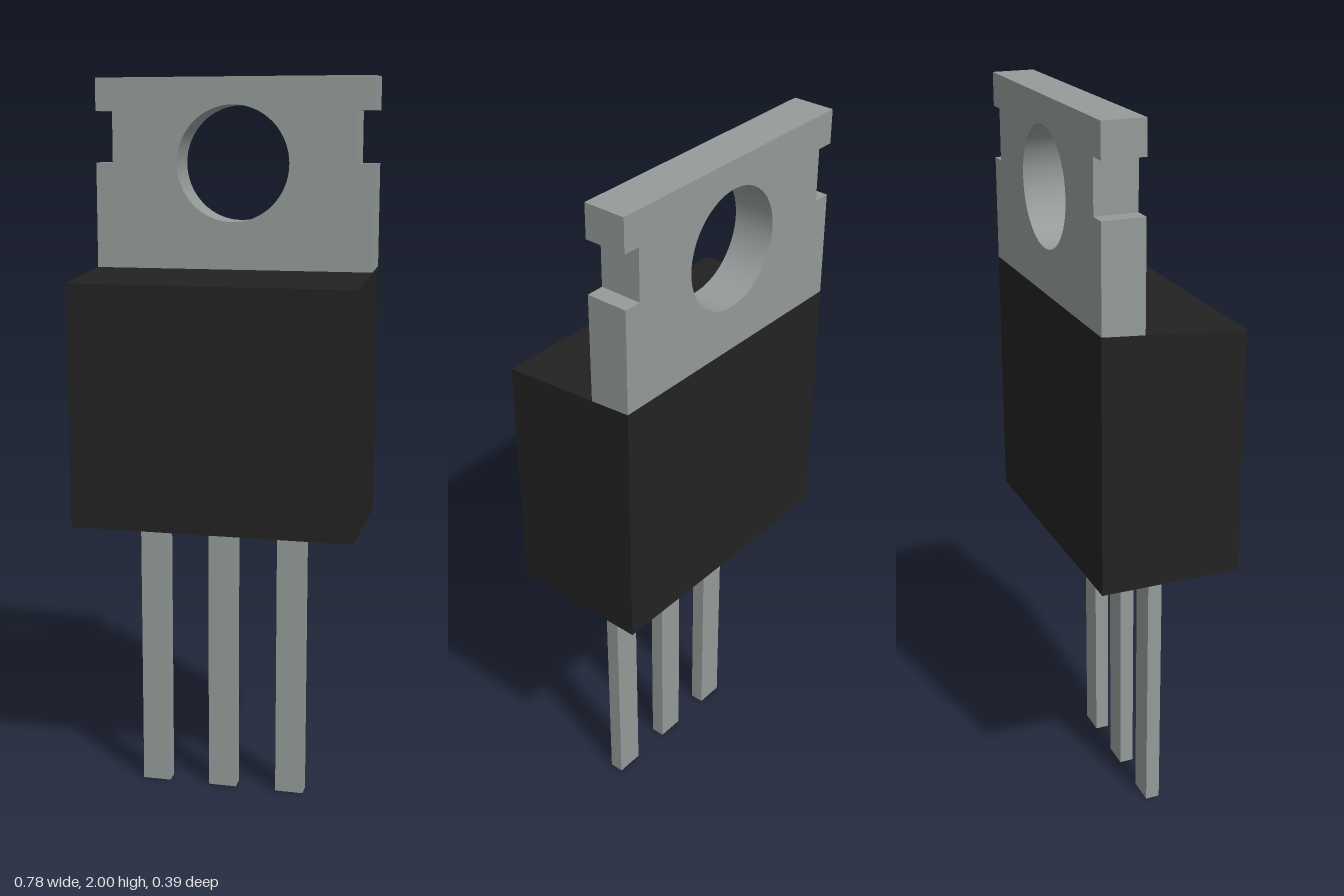
import * as THREE from 'three';
import { toCreasedNormals } from 'three/addons/utils/BufferGeometryUtils.js';

const HALF_W = 0.39, BACK = -0.195, FRONT = 0.195, BASE = 0.79;
const TAB_DEPTH = 0.115;

// Height of the sloping top of the body at depth z
const bodyTop = (z) => THREE.MathUtils.mapLinear(z, BACK, FRONT, 1.488, 1.459);

const toShape = (points) => new THREE.Shape(points.map(([x, y]) => new THREE.Vector2(x, y)));

function makeMesh(name, geometry, material) {
  const mesh = new THREE.Mesh(geometry, material);
  mesh.name = name;
  return mesh;
}

// Moulded block: side profile (z, y) extruded across the width
function bodyGeometry() {
  const profile = toShape([[BACK, BASE], [FRONT, BASE], [FRONT, bodyTop(FRONT)], [BACK, bodyTop(BACK)]]);
  return new THREE.ExtrudeGeometry(profile, { depth: HALF_W * 2, bevelEnabled: false })
    .rotateY(-Math.PI / 2)
    .translate(HALF_W, 0, 0);
}

// Mounting tab: notched plate with a round hole, its foot cut to the body's slope
function tabGeometry() {
  const foot = 1.48, notchX = 0.342, notchLow = 1.77, notchHigh = 1.91;
  const right = [[HALF_W, foot], [HALF_W, notchLow], [notchX, notchLow],
    [notchX, notchHigh], [HALF_W, notchHigh], [HALF_W, 2]];
  const left = right.map(([x, y]) => [-x, y]).reverse();
  const shape = toShape([...right, ...left]);
  shape.holes.push(new THREE.Path().absarc(0, 1.768, 0.158, 0, Math.PI * 2, true));

  const geometry = new THREE.ExtrudeGeometry(shape, { depth: TAB_DEPTH, bevelEnabled: false, curveSegments: 32 })
    .translate(0, 0, BACK);
  const pos = geometry.attributes.position;
  for (let i = 0; i < pos.count; i++) {
    if (pos.getY(i) < foot + 0.001) pos.setY(i, bodyTop(pos.getZ(i)));
  }
  return toCreasedNormals(geometry, Math.PI / 6);
}

export function createModel() {
  const metal = new THREE.MeshStandardMaterial({ name: 'grey metal', color: 0x949b99 });
  const plastic = new THREE.MeshStandardMaterial({ name: 'black plastic', color: 0x222222 });

  const model = new THREE.Group();
  model.name = 'powerTransistor';
  model.add(makeMesh('body', bodyGeometry(), plastic));
  model.add(makeMesh('mountingTab', tabGeometry(), metal));

  // Three straight pins
  const pinGeometry = new THREE.BoxGeometry(0.08, BASE, 0.04);
  ['rightPin', 'middlePin', 'leftPin'].forEach((name, i) => {
    const pin = makeMesh(name, pinGeometry, metal);
    pin.position.set((i - 1) * 0.196, BASE / 2, 0.022);
    model.add(pin);
  });
  return model;
}
